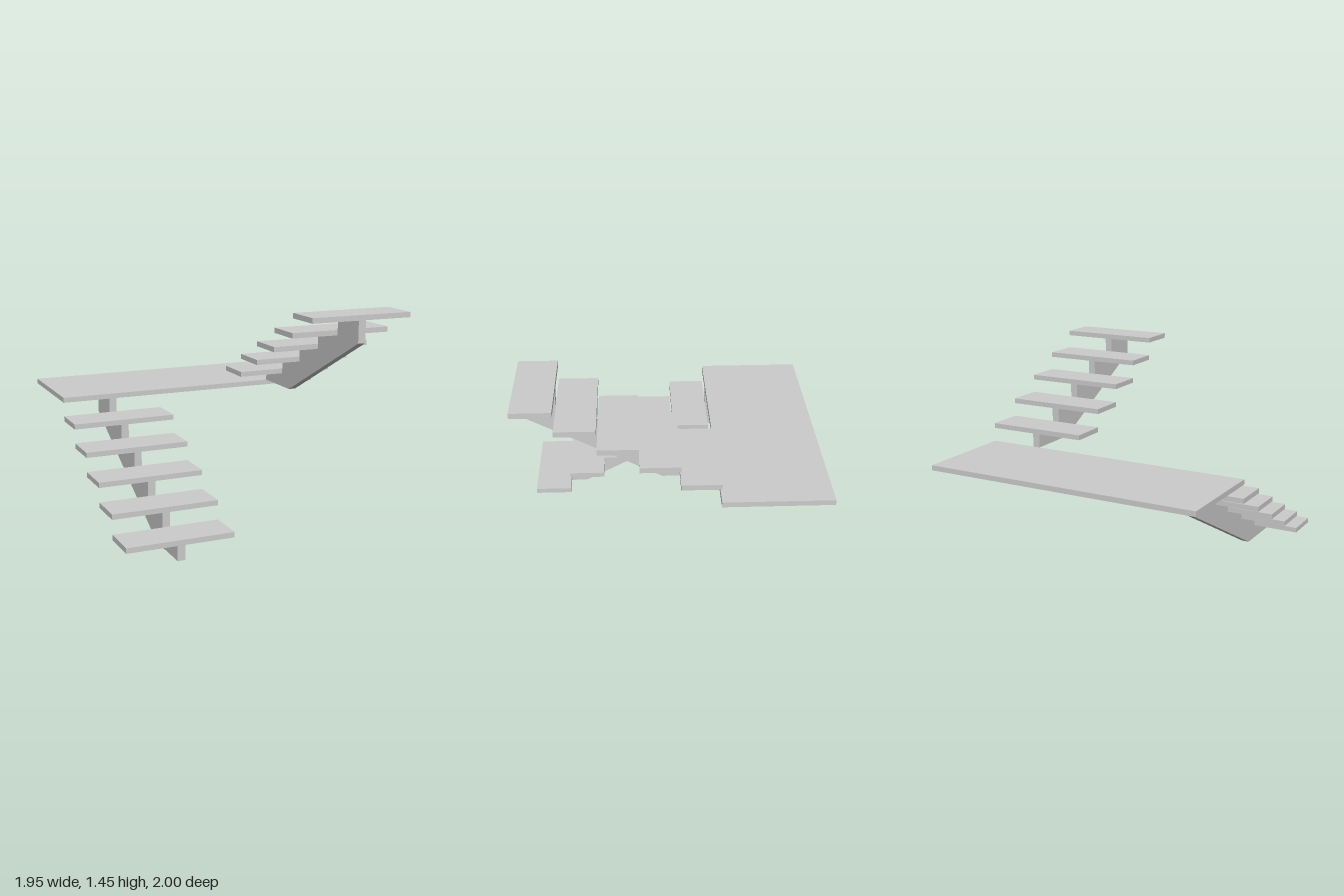
import * as THREE from 'three';

const RISE = 0.1314, RUN = 0.2566, THICK = 0.035;
const LANDING_TOP = 0.79, LANDING_FRONT = -0.283;
const STEPS = 5, WIDTH = 0.715, CENTRE = 0.6185, BEAM = 0.052;

const material = new THREE.MeshStandardMaterial({ color: 0xcccccc });

function addMesh(parent, name, geometry, x = 0, y = 0, z = 0) {
  const mesh = new THREE.Mesh(geometry, material);
  mesh.name = name;
  mesh.position.set(x, y, z);
  parent.add(mesh);
}

// One flight: zStart is the edge of the first tread, dir the way it climbs along z
function createFlight(name, x, firstTop, zStart, dir, underside) {
  const flight = new THREE.Group();
  flight.name = name;
  const profile = [];
  for (let i = 0; i < STEPS; i++) {
    const top = firstTop + i * RISE;
    const z0 = zStart + dir * i * RUN;
    const z1 = z0 + dir * RUN;
    addMesh(flight, 'tread', new THREE.BoxGeometry(WIDTH, THICK, RUN), x, top - THICK / 2, (z0 + z1) / 2);
    profile.push([z0, top - THICK], [z1, top - THICK]);
  }
  // Central sawtooth beam, drawn in the z-y plane and turned to face sideways
  const shape = new THREE.Shape([...profile, ...underside].map(([z, y]) => new THREE.Vector2(z, y)));
  const beam = new THREE.ExtrudeGeometry(shape, { depth: BEAM, bevelEnabled: false });
  beam.translate(0, 0, -BEAM / 2);
  beam.rotateY(-Math.PI / 2);
  addMesh(flight, 'stringer', beam, x);
  return flight;
}

export function createModel() {
  const stairs = new THREE.Group();
  stairs.name = 'staircase';

  // Half landing joining both flights
  const depth = 1 + LANDING_FRONT;
  addMesh(stairs, 'landing', new THREE.BoxGeometry(2 * CENTRE + WIDTH, THICK, depth),
    0, LANDING_TOP - THICK / 2, -1 + depth / 2);

  // Lower flight climbs backwards, its beam running on under the landing
  const under = LANDING_TOP - THICK;
  stairs.add(createFlight('lowerFlight', -CENTRE, LANDING_TOP - STEPS * RISE, 1, -1, [
    [LANDING_FRONT, under], [LANDING_FRONT - RUN, under], [LANDING_FRONT - RUN, 0.605], [0.637, 0], [1, 0],
  ]));

  // Upper flight climbs forwards from the landing
  stairs.add(createFlight('upperFlight', CENTRE, LANDING_TOP + RISE, LANDING_FRONT, 1, [
    [1, 1.265], [0.08, LANDING_TOP], [LANDING_FRONT, LANDING_TOP],
  ]));
  return stairs;
}
